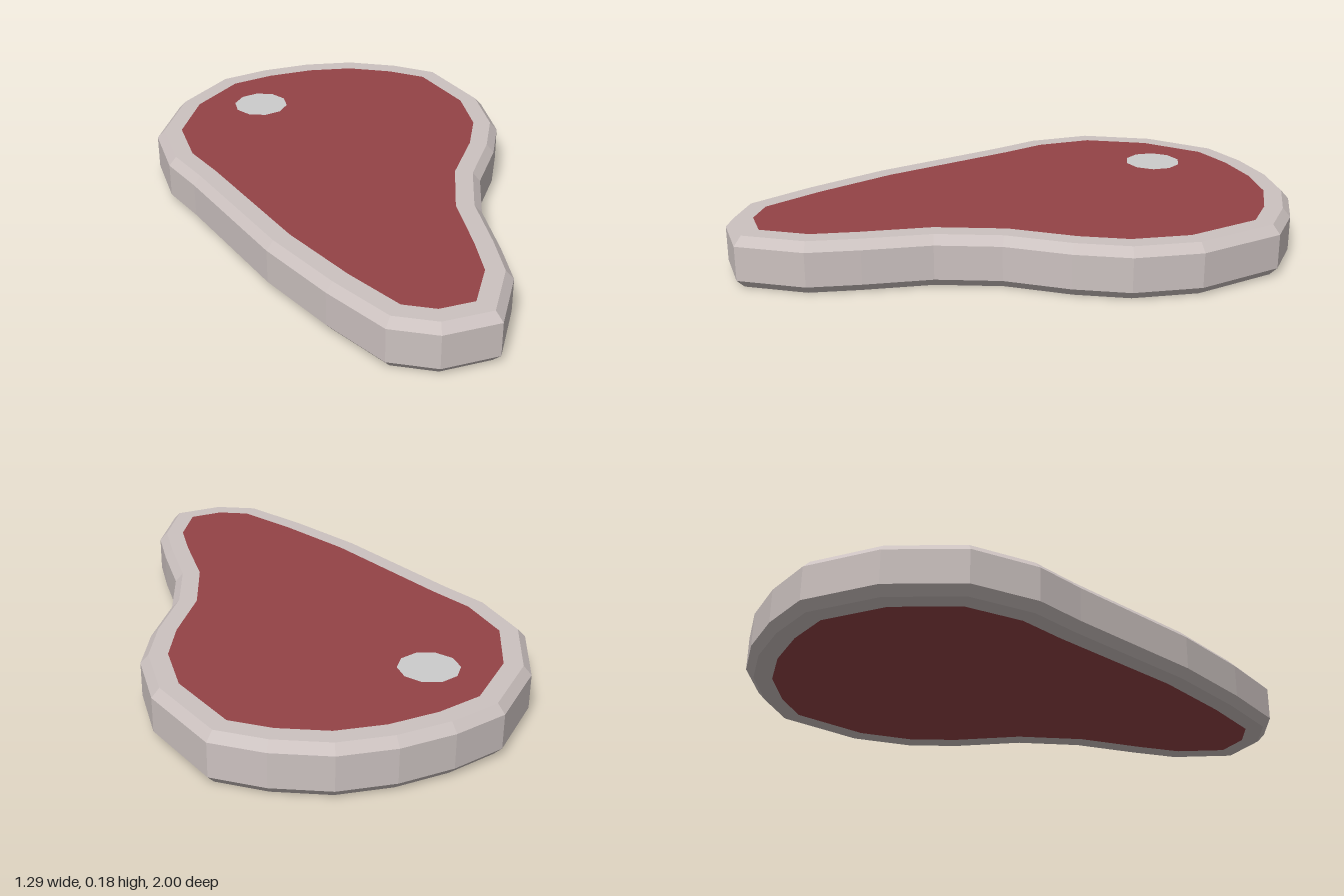
import * as THREE from 'three';

// Outline seen from above as [x, z], starting at the back and running clockwise
const OUTLINE = [
  [0.03, -1], [0.22, -0.98], [0.4, -0.9], [0.55, -0.79], [0.645, -0.485], [0.63, -0.25],
  [0.555, -0.07], [0.435, 0.13], [0.37, 0.345], [0.355, 0.58], [0.335, 0.76], [0.225, 0.975],
  [0.03, 0.995], [-0.12, 0.925], [-0.25, 0.7], [-0.385, 0.42], [-0.56, -0.07], [-0.63, -0.24],
  [-0.65, -0.48], [-0.54, -0.73], [-0.345, -0.925], [-0.16, -0.98],
];
const HEIGHT = 0.18, BEVEL_Y = 0.03, BEVEL = 0.027, RIM = 0.09;
const BONE = { x: -0.227, z: -0.625, radius: 0.103, sides: 10 };

// Move the outline inwards by a distance, mitred at the corners
function inset(distance) {
  const n = OUTLINE.length;
  const normal = (i) => {
    const [ax, az] = OUTLINE[(i + n) % n], [bx, bz] = OUTLINE[(i + 1) % n];
    return new THREE.Vector2(az - bz, bx - ax).normalize();
  };
  return OUTLINE.map(([x, z], i) => {
    const n1 = normal(i - 1), n2 = normal(i);
    const k = distance / (1 + n1.dot(n2));
    return [x + (n1.x + n2.x) * k, z + (n1.y + n2.y) * k];
  });
}

// Flat-faced skin through a stack of rings
function loft(rings) {
  const positions = [];
  for (let r = 0; r < rings.length - 1; r++) {
    const point = (ring, i) => {
      const [x, z] = ring.points[i % ring.points.length];
      return [x, ring.y, z];
    };
    for (let i = 0; i < OUTLINE.length; i++) {
      const a = point(rings[r], i), b = point(rings[r], i + 1);
      const c = point(rings[r + 1], i + 1), d = point(rings[r + 1], i);
      positions.push(...a, ...d, ...c, ...a, ...c, ...b);
    }
  }
  const geometry = new THREE.BufferGeometry();
  geometry.setAttribute('position', new THREE.Float32BufferAttribute(positions, 3));
  geometry.computeVertexNormals();
  return geometry;
}

// Flat horizontal face, up = 1 for facing up and -1 for facing down
function flatFace(points, y, up, hole) {
  const toVectors = (list) => list.map(([x, z]) => new THREE.Vector2(x, -up * z));
  const shape = new THREE.Shape(toVectors(points));
  if (hole) shape.holes.push(new THREE.Path(toVectors(hole)));
  return new THREE.ShapeGeometry(shape).rotateX(-up * Math.PI / 2).translate(0, y, 0);
}

export function createModel() {
  const steak = new THREE.Group();
  steak.name = 'steak';
  const material = (color) => new THREE.MeshStandardMaterial({ color, flatShading: true });
  const meat = material(0x944346);
  const add = (name, geometry, mat) => {
    const mesh = new THREE.Mesh(geometry, mat);
    mesh.name = name;
    steak.add(mesh);
  };

  // Rim of fat: flat border, bevel, wall, bevel, flat border
  const outer = inset(0), bevel = inset(BEVEL), inner = inset(RIM);
  add('fatRim', loft([
    { y: 0, points: inner },
    { y: 0, points: bevel },
    { y: BEVEL_Y, points: outer },
    { y: HEIGHT - BEVEL_Y, points: outer },
    { y: HEIGHT, points: bevel },
    { y: HEIGHT, points: inner },
  ]), material(0xccc2c0));

  // Bone outline, set flush into the upper face
  const bone = Array.from({ length: BONE.sides }, (_, i) => {
    const a = i / BONE.sides * Math.PI * 2 - Math.PI / 2;
    return [BONE.x + Math.cos(a) * BONE.radius, BONE.z + Math.sin(a) * BONE.radius];
  });
  add('meatTop', flatFace(inner, HEIGHT, 1, bone), meat);
  add('meatBottom', flatFace(inner, 0, -1), meat);
  add('bone', flatFace(bone, HEIGHT, 1), material(0xcccccc));

  return steak;
}
